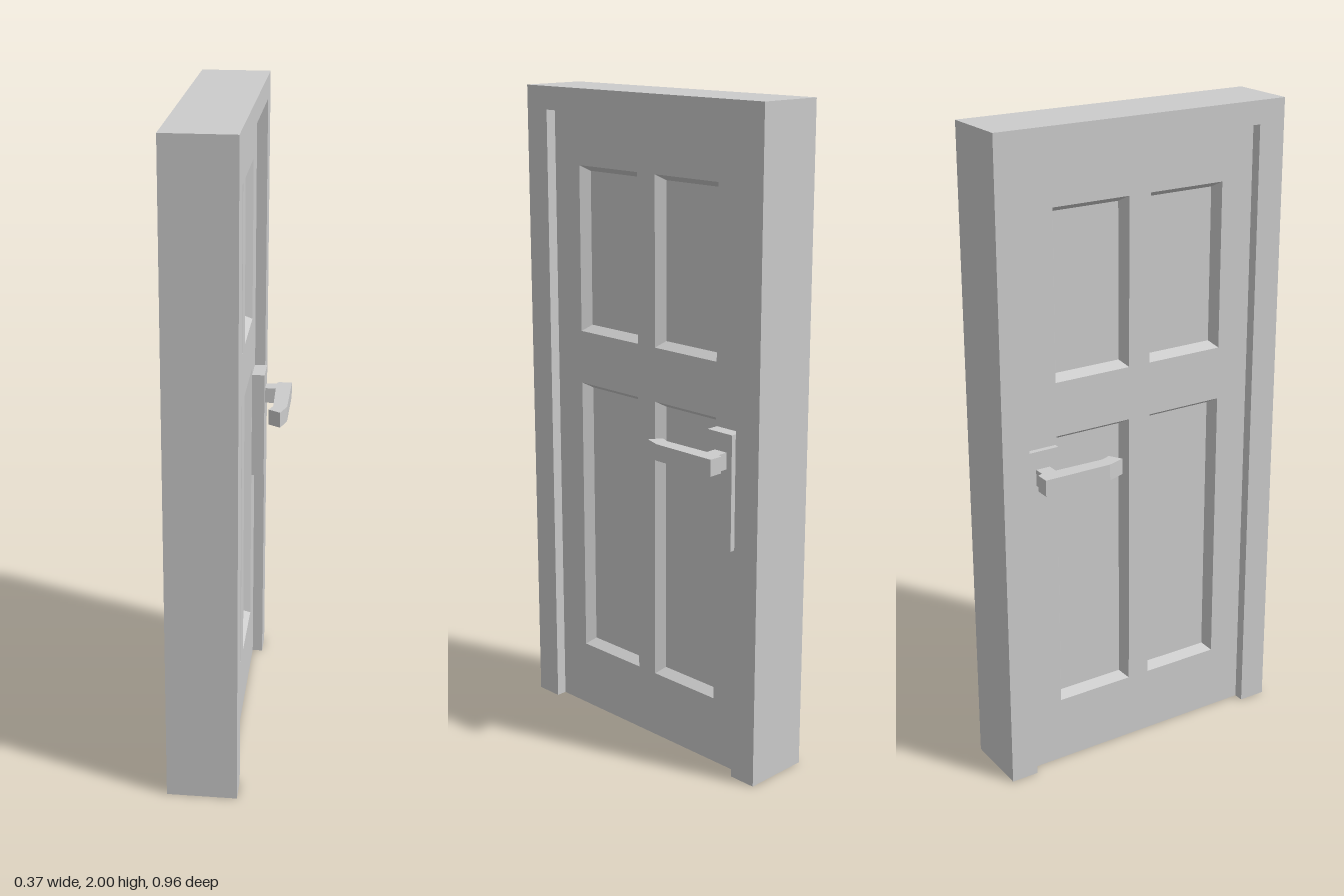
import * as THREE from 'three';

const HALF = 0.48, HEIGHT = 2;             // outer frame
const OPEN = 0.393, OPEN_TOP = 1.93;       // door opening
const BEVEL = 0.018, RECESS = 0.03;        // panel moulding

const material = new THREE.MeshStandardMaterial({ color: 0xcccccc, flatShading: true, side: THREE.DoubleSide });

function addMesh(parent, name, geometry) {
  const mesh = new THREE.Mesh(geometry, material);
  mesh.name = name;
  parent.add(mesh);
  return mesh;
}

// Quads joining outline a (at depth wa) to outline b (at depth wb)
function strip(a, wa, b, wb, closed) {
  const pos = [];
  const n = closed ? a.length : a.length - 1;
  for (let i = 0; i < n; i++) {
    const j = (i + 1) % a.length;
    const p = [...a[i], wa], q = [...a[j], wa], r = [...b[j], wb], s = [...b[i], wb];
    pos.push(...p, ...q, ...r, ...p, ...r, ...s);
  }
  const g = new THREE.BufferGeometry();
  g.setAttribute('position', new THREE.Float32BufferAttribute(pos, 3));
  g.computeVertexNormals();
  return g;
}

// Counter-clockwise outlines
const arch = (h, top) => [[h, 0], [h, top], [-h, top], [-h, 0]];
const rect = (u0, u1, y0, y1) => [[u0, y0], [u1, y0], [u1, y1], [u0, y1]];
const toPoints = (list) => list.map(([x, y]) => new THREE.Vector2(x, y));
const flat = (outline, w, holes = []) => {
  const shape = new THREE.Shape(toPoints(outline));
  for (const h of holes) shape.holes.push(new THREE.Path(toPoints(h)));
  return new THREE.ShapeGeometry(shape).translate(0, 0, w);
};

// Panel limits: [inner edge, outer edge, bottom, top]
const PANELS = [[0.036, 0.286, 1.26, 1.77], [0.036, 0.286, 0.21, 1.095]];

// Lever outline seen from above: [distance along the door, distance outward]
const LEVER = [
  [0.365, 0.09], [0.365, 0.135], [0.38, 0.14], [0.38, 0.184], [0.165, 0.184],
  [0.112, 0.166], [0.135, 0.128], [0.165, 0.14], [0.32, 0.136], [0.32, 0.09],
];

// One face of the door; local +z points outward, side is +1 or -1 along x
function doorFace(side, front, leaf) {
  const face = new THREE.Group();
  face.name = side > 0 ? 'leftDoorFace' : 'rightDoorFace';
  face.rotation.y = side * Math.PI / 2;

  // Casing and the reveal stepping back to the leaf
  const outer = arch(HALF, HEIGHT), inner = arch(OPEN, OPEN_TOP);
  addMesh(face, 'casing', flat([...outer, ...inner.slice().reverse()], front));
  addMesh(face, 'reveal', strip(inner, front, inner, leaf, false));

  // Leaf with four recessed panels
  const holes = [];
  for (const [a, b, y0, y1] of PANELS) {
    for (const [u0, u1] of [[a, b], [-b, -a]]) {
      const rim = rect(u0, u1, y0, y1);
      const field = rect(u0 + BEVEL, u1 - BEVEL, y0 + BEVEL, y1 - BEVEL);
      holes.push(rim);
      addMesh(face, 'panelMoulding', strip(rim, leaf, field, leaf - RECESS, true));
      addMesh(face, 'panelField', flat(field, leaf - RECESS));
    }
  }
  addMesh(face, 'doorLeaf', flat(inner, leaf, holes));

  // Handle plate
  const plateFront = 0.102;
  const plate = addMesh(face, 'handlePlate', new THREE.BoxGeometry(0.095, 0.35, plateFront - leaf));
  plate.position.set(side * 0.3375, 0.895, (plateFront + leaf) / 2);

  // Lever handle
  const shape = new THREE.Shape(toPoints(LEVER.map(([a, w]) => [side * a, w])));
  const lever = new THREE.ExtrudeGeometry(shape, { depth: 0.05, bevelEnabled: false }).rotateX(Math.PI / 2);
  addMesh(face, 'leverHandle', lever).position.y = 1.015;
  return face;
}

export function createModel() {
  const door = new THREE.Group();
  door.name = 'door';

  // Outer sides and top of the hollow frame, open underneath
  const outline = arch(HALF, HEIGHT);
  addMesh(door, 'frameShell', strip(outline, -0.117, outline, 0.095, false)).rotation.y = Math.PI / 2;

  door.add(doorFace(1, 0.095, 0.062), doorFace(-1, 0.117, 0.085));
  return door;
}
